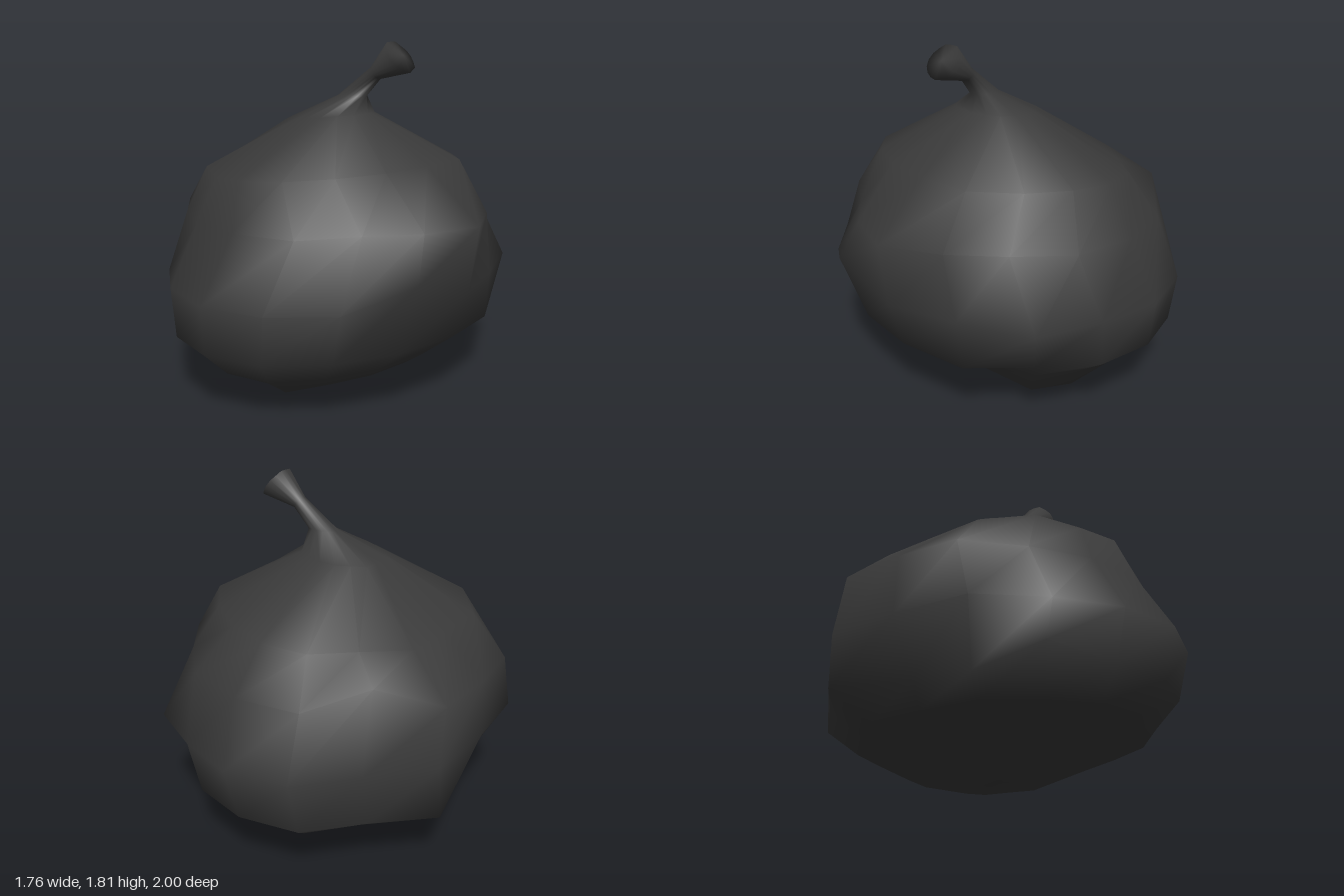
import * as THREE from 'three';

const SIDES = 16;

// Cross-sections from the base to the stem tip:
// left edge x, y; right edge x, y; back z; front z
const RINGS = [
  [-0.14, 0.04, 0.29, 0.03, -0.38, 0.12],
  [-0.38, 0.13, 0.46, 0.13, -0.66, 0.67],
  [-0.67, 0.20, 0.56, 0.20, -0.78, 0.81],
  [-0.87, 0.33, 0.74, 0.34, -0.95, 0.95],
  [-0.88, 0.61, 0.83, 0.60, -1.00, 1.00],
  [-0.87, 0.91, 0.88, 0.94, -0.86, 0.81],
  [-0.64, 1.12, 0.57, 1.20, -0.70, 0.72],
  [-0.23, 1.40, 0.20, 1.44, -0.19, 0.25],
  [0.02, 1.53, 0.19, 1.53, -0.05, 0.07],
  [0.22, 1.68, 0.27, 1.62, -0.045, 0.025],
  [0.34, 1.81, 0.46, 1.66, -0.09, 0.10],
];
const BASE = [-0.05, 0, 0];
const TIP = [0.415, 1.745, 0];

// Slight bulges and dents that run up the skin
const BUMPS = [1, 0.98, 0.98, 1, 1, 0.98, 0.97, 1.04, 1, 1.06, 0.95, 1.01, 1, 0.98, 1.02, 0.92];

// Local lumps and hollows: ring -> side -> [scale, lift]
const LUMPS = {
  1: { 3: [1.1, 0], 4: [1, 0.06], 13: [1.12, 0], 14: [1.2, 0] },
  2: { 3: [1.03, 0], 14: [1, 0] },
  3: { 6: [0.98, 0.08], 7: [0.82, 0], 8: [0.82, 0], 9: [1.08, 0], 13: [1, 0], 14: [0.96, 0], 15: [1.05, 0] },
  4: { 1: [1.04, 0.12], 14: [1.06, 0], 15: [0.97, 0] },
  5: { 1: [0.92, 0], 2: [0.87, 0], 10: [0.98, 0.12], 14: [0.9, 0] },
  6: { 6: [1.02, 0.03], 7: [1.1, 0], 15: [1.1, 0] },
  7: { 7: [1.2, 0] },
};

function loftGeometry() {
  const pos = [...BASE];
  RINGS.forEach(([xl, yl, xr, yr, zb, zf], i) => {
    for (let j = 0; j < SIDES; j++) {
      const a = (j / SIDES) * Math.PI * 2;
      const [r, lift] = LUMPS[i]?.[j] ?? [BUMPS[j], 0];
      const c = Math.cos(a) * r;
      const s = Math.sin(a) * r;
      pos.push(
        (xl + xr) / 2 + (c * (xr - xl)) / 2,
        (yl + yr) / 2 + (c * (yr - yl)) / 2 + lift,
        s > 0 ? s * zf : -s * zb
      );
    }
  });
  pos.push(...TIP);

  const at = (i, j) => 1 + i * SIDES + (j % SIDES);
  const last = RINGS.length - 1;
  const tip = 1 + RINGS.length * SIDES;
  const index = [];
  for (let j = 0; j < SIDES; j++) {
    index.push(0, at(0, j), at(0, j + 1));
    for (let i = 0; i < last; i++) {
      index.push(at(i, j), at(i + 1, j), at(i, j + 1));
      index.push(at(i, j + 1), at(i + 1, j), at(i + 1, j + 1));
    }
    index.push(at(last, j), tip, at(last, j + 1));
  }

  const g = new THREE.BufferGeometry();
  g.setAttribute('position', new THREE.Float32BufferAttribute(pos, 3));
  g.setIndex(index);
  g.computeVertexNormals();
  return g;
}

export function createModel() {
  const group = new THREE.Group();
  group.name = 'gourd';
  // Body flows without a seam into the crooked stem
  const body = new THREE.Mesh(loftGeometry(), new THREE.MeshStandardMaterial({ color: 0x3a3a3a }));
  body.name = 'bodyWithStem';
  group.add(body);
  return group;
}
